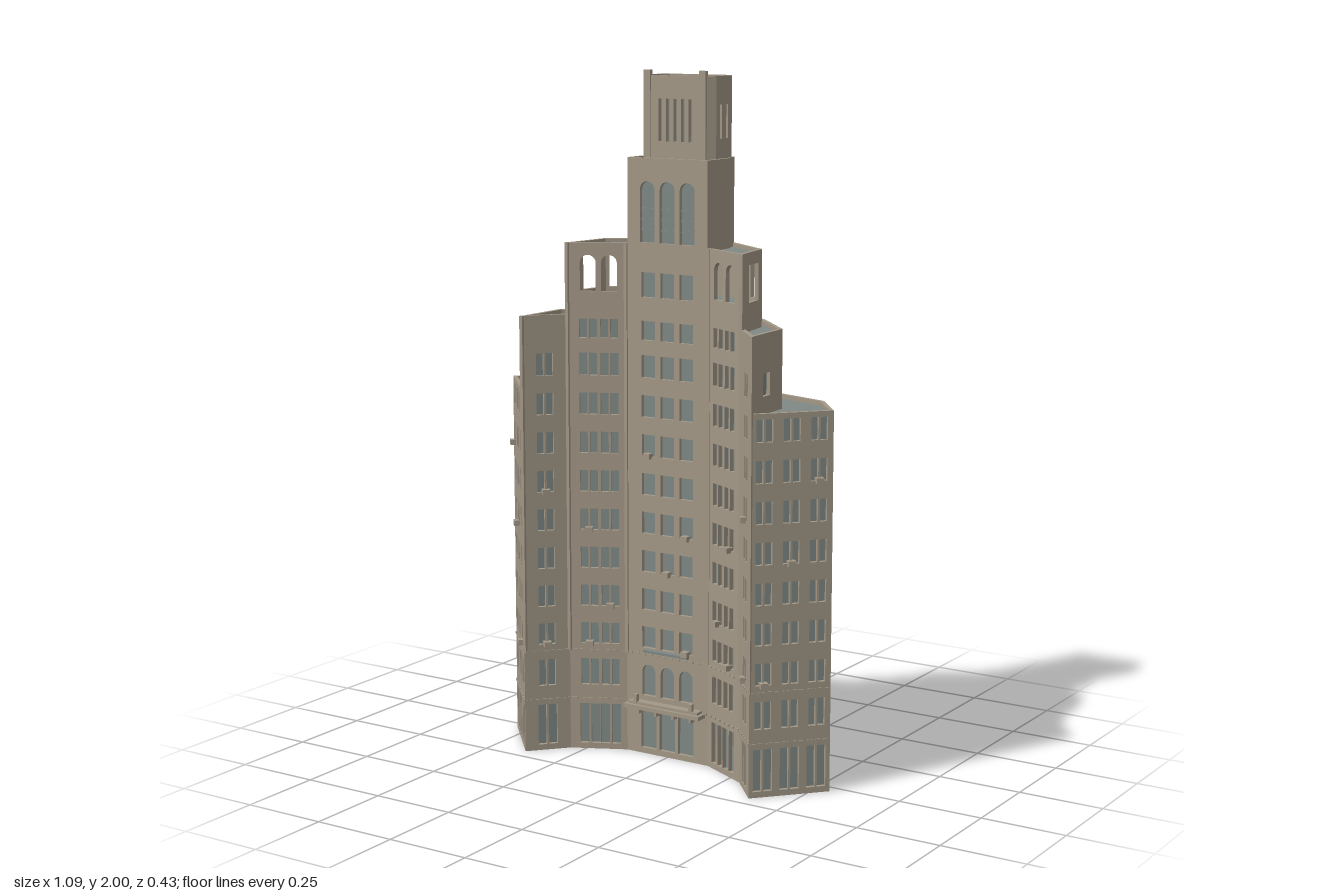
import * as THREE from 'three';

const wall = new THREE.MeshStandardMaterial({ color: 0xa39887 });
wall.name = 'stone';
const glass = new THREE.MeshStandardMaterial({ color: 0x7f8986 });
glass.name = 'glassAndRoof';

const T = 0.012; // wall thickness

// Full outline from its +x half, listed front to back as [x, z]
const mirror = half => [...half, ...half.map(([x, z]) => [-x, z]).reverse()];

// Outline moved inwards by d, with mitred corners
function inset(pts, d) {
  const n = pts.length;
  const normal = i => {
    const [a, b] = [pts[(i + n) % n], pts[(i + 1) % n]];
    const l = Math.hypot(b[0] - a[0], b[1] - a[1]);
    return [-(b[1] - a[1]) / l, (b[0] - a[0]) / l];
  };
  return pts.map(([x, z], i) => {
    const p = normal(i - 1), q = normal(i);
    const k = d / (1 + p[0] * q[0] + p[1] * q[1]);
    return [x - (p[0] + q[0]) * k, z - (p[1] + q[1]) * k];
  });
}

// Solid prism over an outline, between two heights
function prism(name, pts, y0, y1, material) {
  const shape = new THREE.Shape(pts.map(([x, z]) => new THREE.Vector2(x, -z)));
  const geo = new THREE.ExtrudeGeometry(shape, { depth: y1 - y0, bevelEnabled: false });
  geo.rotateX(-Math.PI / 2).translate(0, y0, 0);
  const mesh = new THREE.Mesh(geo, material);
  mesh.name = name;
  return mesh;
}

function box(name, w, h, d, x, y, z, material = wall) {
  const mesh = new THREE.Mesh(new THREE.BoxGeometry(w, h, d), material);
  mesh.position.set(x, y, z);
  mesh.name = name;
  return mesh;
}

// Window opening, square or round headed
function opening({ u, y, w, h, arch }) {
  const p = new THREE.Path(), r = w / 2, b = y - h / 2, t = y + h / 2;
  p.moveTo(u - r, b);
  p.lineTo(u + r, b);
  if (arch) {
    p.lineTo(u + r, t - r);
    p.absarc(u, t - r, r, 0, Math.PI, false);
  } else {
    p.lineTo(u + r, t);
    p.lineTo(u - r, t);
  }
  p.closePath();
  return p;
}

// One storey block: a pierced wall on every edge around glass-coloured cores.
// openings(edge, length) lists the holes of the +x edges; the -x edges mirror them.
function tier(name, half, y0, y1, openings, cores, extras = () => []) {
  const group = new THREE.Group();
  group.name = name;
  const pts = mirror(half), inner = inset(pts, T), n = pts.length, k = half.length;
  pts.forEach((a, i) => {
    const j = (i + 1) % n, b = pts[j];
    const L = Math.hypot(b[0] - a[0], b[1] - a[1]);
    const dir = [(b[0] - a[0]) / L, (b[1] - a[1]) / L];
    const along = p => (p[0] - a[0]) * dir[0] + (p[1] - a[1]) * dir[1];
    const flipped = i >= k && i < n - 1;
    const edge = i === n - 1 ? 'front' : i === k - 1 ? 'back' : flipped ? n - 2 - i : i;
    const shape = new THREE.Shape([[0, y0], [L, y0], [L, y1], [0, y1]].map(p => new THREE.Vector2(...p)));
    for (const o of openings(edge, L)) shape.holes.push(opening({ ...o, u: flipped ? L - o.u : o.u }));
    const geo = new THREE.ExtrudeGeometry(shape, { depth: T, bevelEnabled: false, curveSegments: 6 });
    geo.translate(0, 0, -T);
    // mitre the inner corners
    const pos = geo.attributes.position;
    for (let v = 0; v < pos.count; v++) {
      if (pos.getZ(v) > -T / 2) continue;
      if (pos.getX(v) < 1e-5) pos.setX(v, along(inner[i]));
      else if (pos.getX(v) > L - 1e-5) pos.setX(v, along(inner[j]));
    }
    geo.computeVertexNormals();
    const side = new THREE.Group();
    side.name = 'wall' + i;
    side.position.set(a[0], 0, a[1]);
    side.rotation.y = Math.atan2(-dir[1], dir[0]);
    const panel = new THREE.Mesh(geo, wall);
    panel.name = 'wallPanel';
    side.add(panel, ...extras(edge, L, flipped));
    group.add(side);
  });
  for (const [b, t] of cores) group.add(prism('glazedCore', inner, b, t, glass));
  return group;
}

// Window columns per facade: [fractions along the wall], width, paired panes
const columns = {
  front: [[0.27, 0.5, 0.73], 0.046, false],
  0: [[0.29, 0.65], 0.052, true],
  1: [[0.5], 0.05, true],
  2: [[0.17, 0.5, 0.83], 0.048, true],
};

function windowRow(edge, L, y, h, arch = false, widen = 0) {
  if (!columns[edge]) return [];
  const [fractions, width, paired] = columns[edge], w = width + widen;
  return fractions.flatMap(f => paired
    ? [-1, 1].map(s => ({ u: f * L + s * (w / 4 + 0.0015), y, w: w / 2 - 0.003, h, arch }))
    : [{ u: f * L, y, w, h, arch }]);
}

export function createModel() {
  const model = new THREE.Group();
  model.name = 'tower';
  const front = [[0.14, 0.03], [0.293, 0.106], [0.385, 0.208]];

  // Curved main block with its wings
  const floors = Array.from({ length: 7 }, (_, k) => 0.355 + 0.1145 * k);
  const coolers = { front: [[0.27, 5], [0.5, 2], [0.73, 3], [0.73, 0]], 0: [[0.65, 3], [0.65, 0], [0.29, 1]],
    1: [[0.5, 4], [0.5, 0]], 2: [[0.17, 0], [0.5, 3], [0.83, 5]] };
  model.add(tier('mainBlock', [...front, [0.545, 0.032], [0.447, -0.087], [0.265, -0.138], [0.11, -0.215]], 0, 1.09,
    (e, L) => [
      ...windowRow(e, L, 0.078, 0.122, false, 0.008),
      ...windowRow(e, L, e === 'front' ? 0.225 : 0.237, e === 'front' ? 0.095 : 0.08, e === 'front'),
      ...floors.flatMap(y => windowRow(e, L, y, 0.064)),
    ], [[0, 1.078]],
    (e, L, flipped) => {
      if (!columns[e]) return [];
      // window coolers and dashed string courses
      const parts = coolers[e].map(([f, k]) =>
        box('windowCooler', 0.022, 0.016, 0.022, (flipped ? 1 - f : f) * L, floors[k] - 0.03, 0.004));
      const count = Math.round(L / 0.024);
      for (const y of [0.155, 0.303]) for (let i = 0; i < count; i++)
        parts.push(box('stringCourse', 0.016, 0.005, 0.006, (i + 0.5) * L / count, y, 0));
      return parts;
    }));

  // First setback
  model.add(tier('lowerSetback', [...front, [0.378, 0.028], [0.24, -0.11], [0.103, -0.178]], 1.078, 1.302,
    (e, L) => e === 2 ? [{ u: 0.5 * L, y: 1.16, w: 0.04, h: 0.064 }] : [
      ...windowRow(e, L, 1.158, 0.066),
      ...(e === 1 ? [] : windowRow(e, L, 1.266, 0.064)),
    ], [[1.078, 1.29]]));

  // Second setback: an open gallery under its roof
  model.add(tier('openGallery', [...front.slice(0, 2), [0.268, -0.045], [0.103, -0.158]], 1.29, 1.51,
    (e, L) => {
      if (e === 'front') return windowRow(e, L, 1.394, 0.072);
      if (e === 0) return [0.29, 0.65].map(f => ({ u: f * L, y: 1.422, w: 0.046, h: 0.105, arch: true }));
      if (e === 1) return [{ u: 0.59 * L, y: 1.422, w: 0.072, h: 0.105 }];
      if (e === 2) return [{ u: 0.17 * L, y: 1.422, w: 0.036, h: 0.105 }];
      return [];
    }, [[1.29, 1.355], [1.485, 1.5]]));
  model.add(box('galleryGlazing', 0.27, 0.14, 0.006, 0, 1.42, 0.015, glass));

  // Upper shaft with three tall arched windows
  model.add(tier('upperShaft', [[0.134, 0.03], [0.134, -0.085], [0.113, -0.148]], 1.498, 1.755,
    (e, L) => e === 'front'
      ? [-0.067, 0, 0.067].map(x => ({ u: L / 2 + x, y: 1.602, w: 0.05, h: 0.175, arch: true })) : [],
    [[1.498, 1.743]]));
  for (let i = 0; i < 3; i++)
    model.add(box('archTransom', 0.19, 0.005, 0.006, 0, 1.55 + i * 0.03, 0.019, glass));

  // Slotted top
  model.add(tier('crown', [[0.1, -0.012], [0.122, -0.035], [0.122, -0.118], [0.103, -0.145]], 1.743, 1.985,
    (e, L) => {
      if (e === 'front') return [-2, -1, 0, 1, 2].map(i => ({ u: L / 2 + i * 0.025, y: 1.86, w: 0.011, h: 0.12 }));
      if (e === 1) return [0.3, 0.7].map(f => ({ u: f * L, y: 1.858, w: 0.01, h: 0.095 }));
      return [];
    }, [[1.743, 1.973]]));

  for (const s of [-1, 1]) {
    model.add(box('crownPost', 0.022, 0.25, 0.012, s * 0.092, 1.875, -0.014));
    // vertical piers where the facades meet
    model.add(box('innerPier', 0.01, 1.21, 0.01, s * 0.14, 0.905, 0.03));
    model.add(box('middlePier', 0.01, 1.21, 0.01, s * 0.293, 0.905, 0.106));
    model.add(box('outerPier', 0.01, 1.0, 0.01, s * 0.384, 0.802, 0.205));
    model.add(box('canopyLamp', 0.012, 0.026, 0.012, s * 0.095, 0.172, 0.052));
  }

  // Entrance canopy and the balcony above it
  model.add(box('canopy', 0.26, 0.012, 0.042, 0, 0.149, 0.046));
  model.add(box('canopyTrim', 0.24, 0.008, 0.03, 0, 0.159, 0.042));
  model.add(box('balcony', 0.15, 0.008, 0.016, 0, 0.316, 0.036, glass));
  for (const x of [-0.09, -0.03, 0.03, 0.09])
    model.add(box('canopyBracket', 0.008, 0.018, 0.02, x, 0.134, 0.04));
  return model;
}
